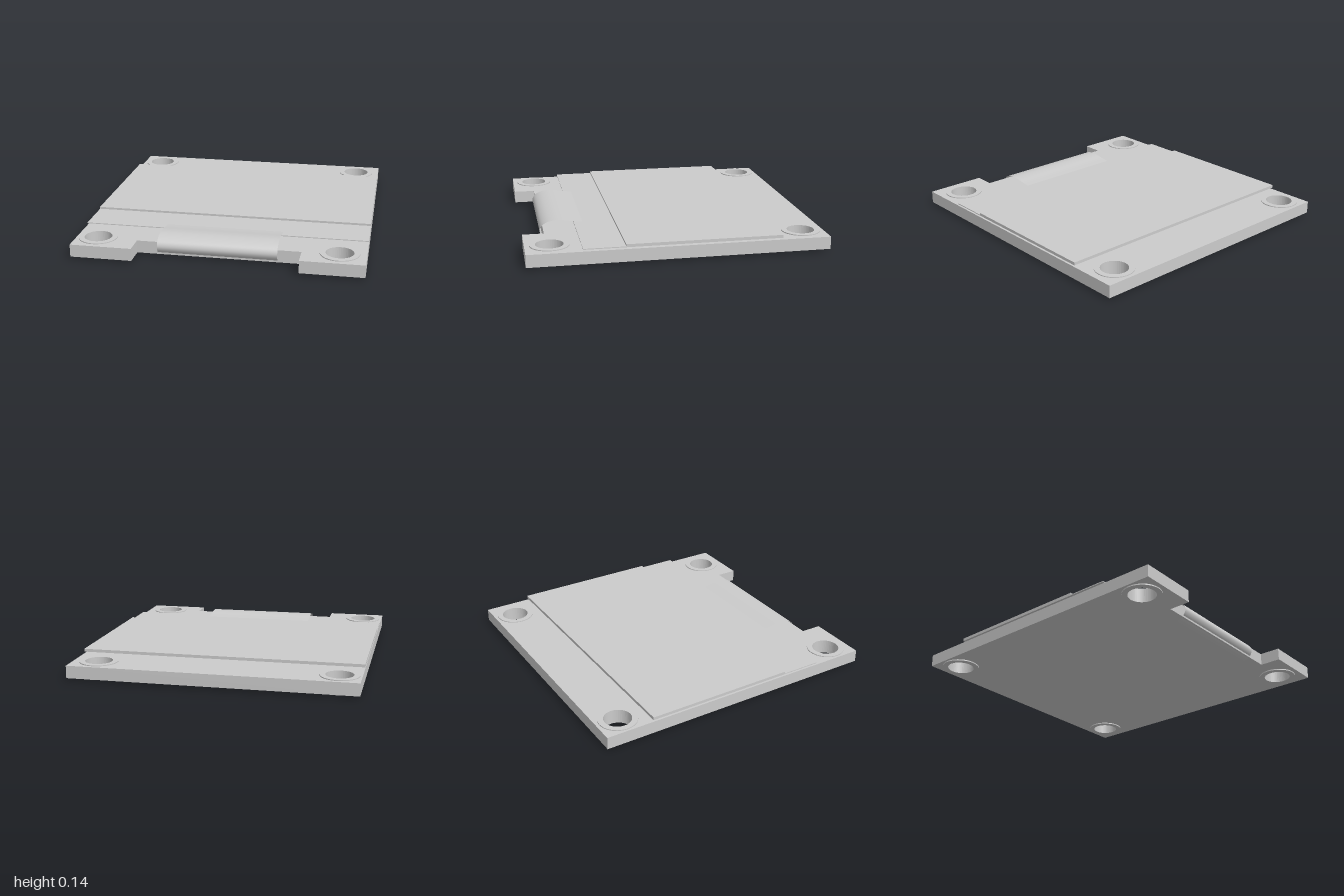
import * as THREE from 'three';

const grey = new THREE.MeshStandardMaterial({ color: 0xcccccc });
const greyThin = new THREE.MeshStandardMaterial({ color: 0xcccccc, side: THREE.DoubleSide });

// Mounting hole centres as [x, z]
const holes = [[-0.82, -0.848], [0.79, -0.848], [-0.82, 0.838], [0.79, 0.838]];
const boreRadius = 0.092;

function addMesh(group, name, geometry, material = grey) {
  const mesh = new THREE.Mesh(geometry, material);
  mesh.name = name;
  group.add(mesh);
  return mesh;
}

// Flat box given by its limits
function slab(x0, x1, y0, y1, z0, z1) {
  return new THREE.BoxGeometry(x1 - x0, y1 - y0, z1 - z0)
    .translate((x0 + x1) / 2, (y0 + y1) / 2, (z0 + z1) / 2);
}

// Circuit board with a front notch and four drilled corners
function boardGeometry() {
  const outline = [
    [-0.965, -1], [-0.55, -1], [-0.55, -0.855], [0.545, -0.855],
    [0.545, -1], [0.965, -1], [0.965, 1], [-0.965, 1],
  ];
  const shape = new THREE.Shape(outline.map(([x, y]) => new THREE.Vector2(x, y)));
  for (const [x, z] of holes) {
    shape.holes.push(new THREE.Path().absarc(x, -z, boreRadius + 0.002, 0, Math.PI * 2, true));
  }
  return new THREE.ExtrudeGeometry(shape, { depth: 0.085, bevelEnabled: false, curveSegments: 32 })
    .rotateX(-Math.PI / 2).translate(0, 0.015, 0);
}

// Plated rim: a bore through the board with a thin flange on each face
function rimGeometry() {
  const r = boreRadius, R = 0.13, y0 = 0.007, y1 = 0.106;
  const corners = [[r, y0], [R, y0], [R, 0.016], [r + 0.001, 0.016], [r + 0.001, 0.099], [R, 0.099], [R, y1], [r, y1], [r, y0]];
  // Doubled corners keep the edges sharp
  const profile = corners.flatMap(([x, y]) => [new THREE.Vector2(x, y), new THREE.Vector2(x, y)]);
  return new THREE.LatheGeometry(profile, 48).toNonIndexed();
}

// Flexible ribbon: a thin sheet swept along x, folding round the front under the board
function ribbonGeometry() {
  const path = new THREE.CatmullRomCurve3([
    [0.119, 0.58], [0.126, 0.64], [0.137, 0.71], [0.139, 0.77], [0.127, 0.825], [0.102, 0.861],
    [0.07, 0.874], [0.038, 0.863], [0.012, 0.835], [0.002, 0.8], [0.001, 0.77],
  ].map(([y, z]) => new THREE.Vector3(0, y, z)));
  const geometry = new THREE.PlaneGeometry(0.8, 1, 1, 48);
  const pos = geometry.attributes.position;
  for (let i = 0; i < pos.count; i++) {
    const p = path.getPoint(0.5 - pos.getY(i));
    pos.setXYZ(i, pos.getX(i) - 0.01, p.y, p.z);
  }
  geometry.computeVertexNormals();
  return geometry;
}

export function createModel() {
  const model = new THREE.Group();
  model.name = 'displayModule';

  addMesh(model, 'circuitBoard', boardGeometry());

  const rim = rimGeometry();
  rim.computeVertexNormals();
  for (const [x, z] of holes) {
    addMesh(model, 'mountingRim', rim, greyThin).position.set(x, 0, z);
  }

  // Display: thin lower sheet with a ledge in front of the upper glass
  addMesh(model, 'lowerGlass', slab(-0.965, 0.965, 0.112, 0.118, -0.67, 0.64));
  addMesh(model, 'upperGlass', slab(-0.965, 0.965, 0.118, 0.132, -0.67, 0.365));

  addMesh(model, 'ribbonCable', ribbonGeometry(), greyThin);
  return model;
}
